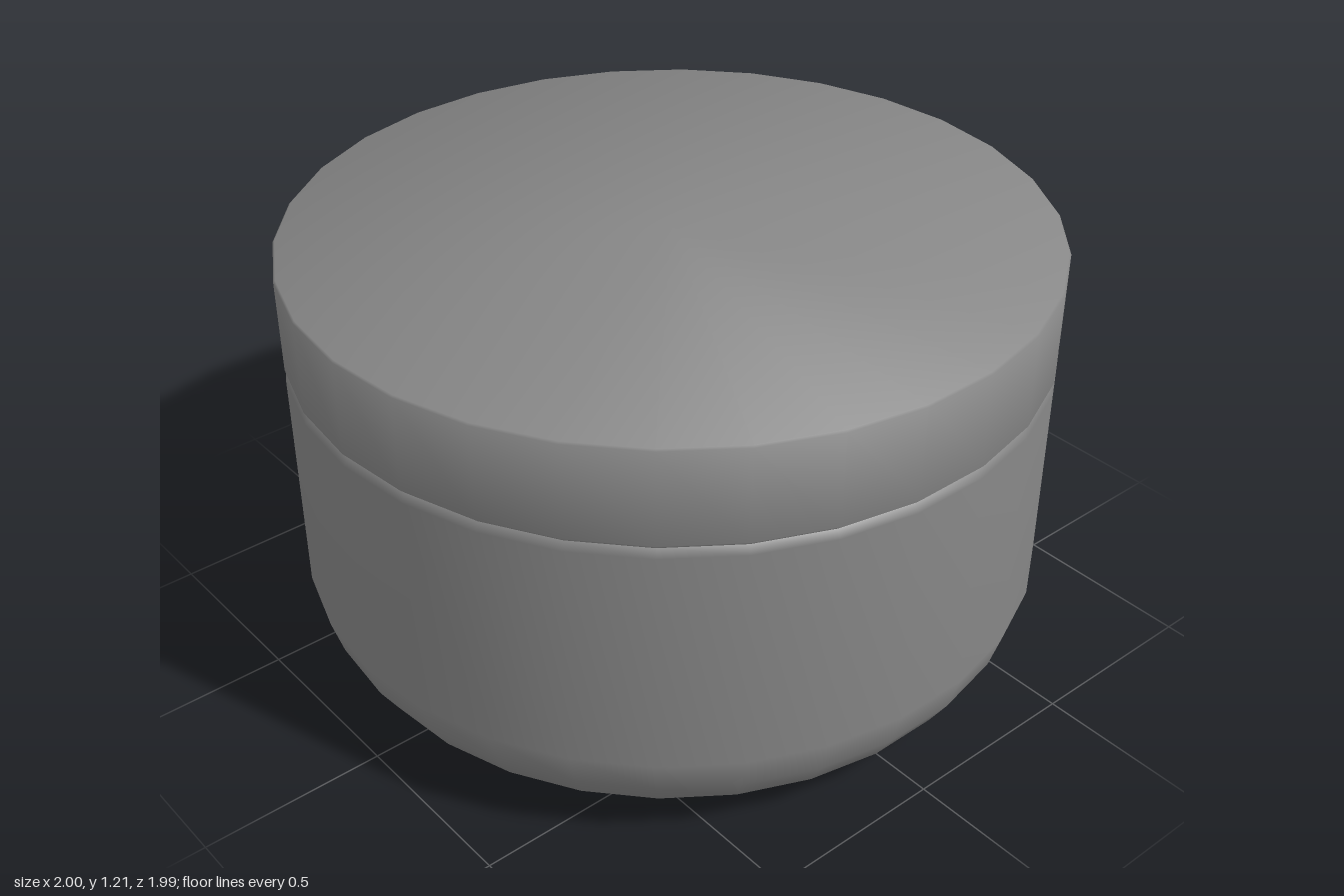
import * as THREE from 'three';

const SIDES = 30;

// Turned part from a bottom-to-top [radius, height] profile, with a corner on the x axis.
// An optional third value is the upward tilt of the normal in degrees, for soft edges.
function turned(name, profile, material) {
  const points = profile.map(([r, y]) => new THREE.Vector2(r, y));
  const geometry = new THREE.LatheGeometry(points, SIDES, Math.PI / 2);
  const normals = geometry.attributes.normal;
  for (let i = 0; i < normals.count; i++) {
    const tilt = profile[i % profile.length][2];
    if (tilt === undefined) continue;
    const around = Math.PI / 2 + Math.floor(i / profile.length) * (Math.PI * 2 / SIDES);
    const up = THREE.MathUtils.degToRad(tilt);
    normals.setXYZ(i, Math.cos(up) * Math.sin(around), Math.sin(up), Math.cos(up) * Math.cos(around));
  }
  const mesh = new THREE.Mesh(geometry, material);
  mesh.name = name;
  return mesh;
}

export function createModel() {
  const group = new THREE.Group();
  group.name = 'liddedJar';
  const material = new THREE.MeshStandardMaterial({ color: 0x878787, side: THREE.DoubleSide });

  // Bowl with a rounded foot and a small bevel below the seam
  group.add(turned('jarBody', [
    [0, 0], [0.67, 0.005], [0.76, 0.02], [0.85, 0.06], [0.92, 0.12],
    [0.97, 0.2], [1, 0.3], [1, 0.92], [0.982, 0.94],
  ], material));

  // Lid with a small lower bevel and a softly shaded rim
  group.add(turned('lid', [
    [0.985, 0.94, -30], [1, 0.955, -10], [1, 1.205, 25], [0.995, 1.21, 63], [0, 1.21, 90],
  ], material));

  return group;
}
